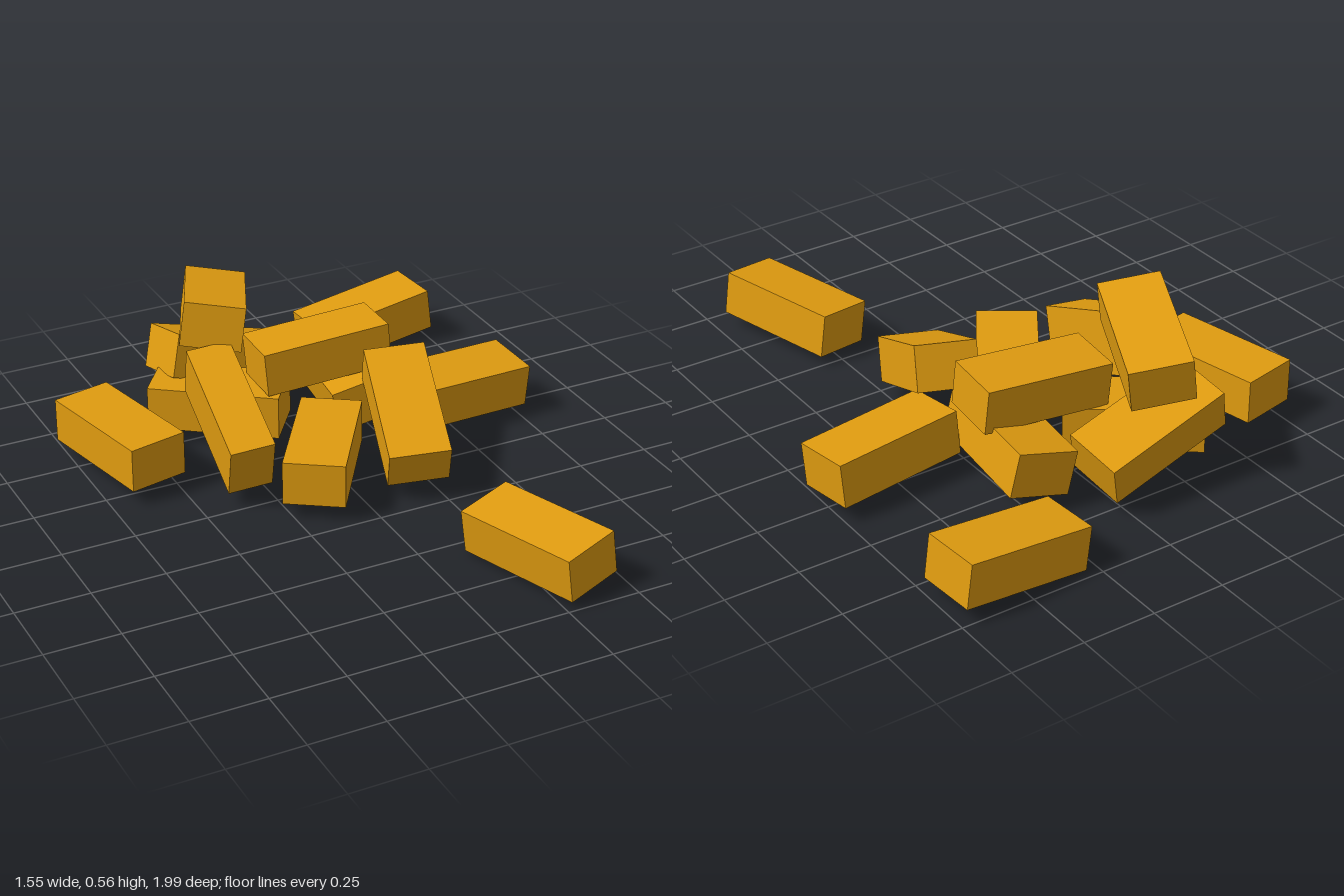
import * as THREE from 'three';

// Scattered pile of identical plain bricks
const LENGTH = 0.45, WIDTH = 0.205, HEIGHT = 0.15;

// name, centre, direction of the long axis, approximate up direction
const BRICKS = [
  // lying loose around the pile
  ['looseBrickRight', [-0.63, 0.137, -0.415], [0.21, 0, 0.977], [0, 1, 0]],
  ['looseBrickBack', [0.508, 0.11, -0.88], [0.445, 0.055, -0.033], [0, 1, 0]],
  ['looseBrickFront', [0.289, 0.112, 0.745], [0.29, 0.035, 0.957], [-0.13, 0.99, 0]],
  // bottom layer
  ['baseBrickLeft', [0.54, 0.138, -0.228], [0.445, -0.02, -0.043], [0, 1, 0.08]],
  ['baseBrickFront', [-0.075, 0.137, -0.02], [-0.55, 0, 0.83], [0, 1, 0]],
  ['baseBrickBack', [-0.231, 0.137, -0.5], [68, 0, 50], [0, 1, 0]],
  ['baseBrickMiddle', [0.204, 0.16, -0.44], [-0.05, 0, 0.444], [-0.22, 0.975, 0]],
  // leaning and stacked
  ['leaningBrickFront', [0.212, 0.226, 0.015], [-0.11, -0.193, 0.407], [-0.055, 1, 0]],
  ['leaningBrickBack', [-0.144, 0.208, -0.692], [0.428, -0.125, -0.02], [0, 1, -0.2]],
  ['upperBrick', [0.088, 0.305, -0.395], [0.44, 0.03, 0.025], [0, 1, -0.05]],
  ['topBrick', [-0.215, 0.447, -0.573], [-0.18, 0.075, 0.41], [0.15, 1, 0]],
  // standing on its narrow side: its thickness points sideways
  ['leaningBrickOnEdge', [-0.33, 0.243, -0.195], [-0.03, -0.175, 0.41], [-0.08, 1, 0], true],
];

export function createModel() {
  const group = new THREE.Group();
  group.name = 'brickPile';
  const material = new THREE.MeshStandardMaterial({ color: 0xe09c10, flatShading: true });
  const flat = new THREE.BoxGeometry(WIDTH, HEIGHT, LENGTH);
  const onEdge = new THREE.BoxGeometry(HEIGHT, WIDTH, LENGTH);

  for (const [name, centre, direction, upHint, edge] of BRICKS) {
    const along = new THREE.Vector3(...direction).normalize();
    const side = new THREE.Vector3(...upHint).cross(along).normalize();
    const up = along.clone().cross(side);
    const brick = new THREE.Mesh(edge ? onEdge : flat, material);
    brick.name = name;
    brick.position.set(...centre);
    brick.quaternion.setFromRotationMatrix(new THREE.Matrix4().makeBasis(side, up, along));
    group.add(brick);
  }
  return group;
}
